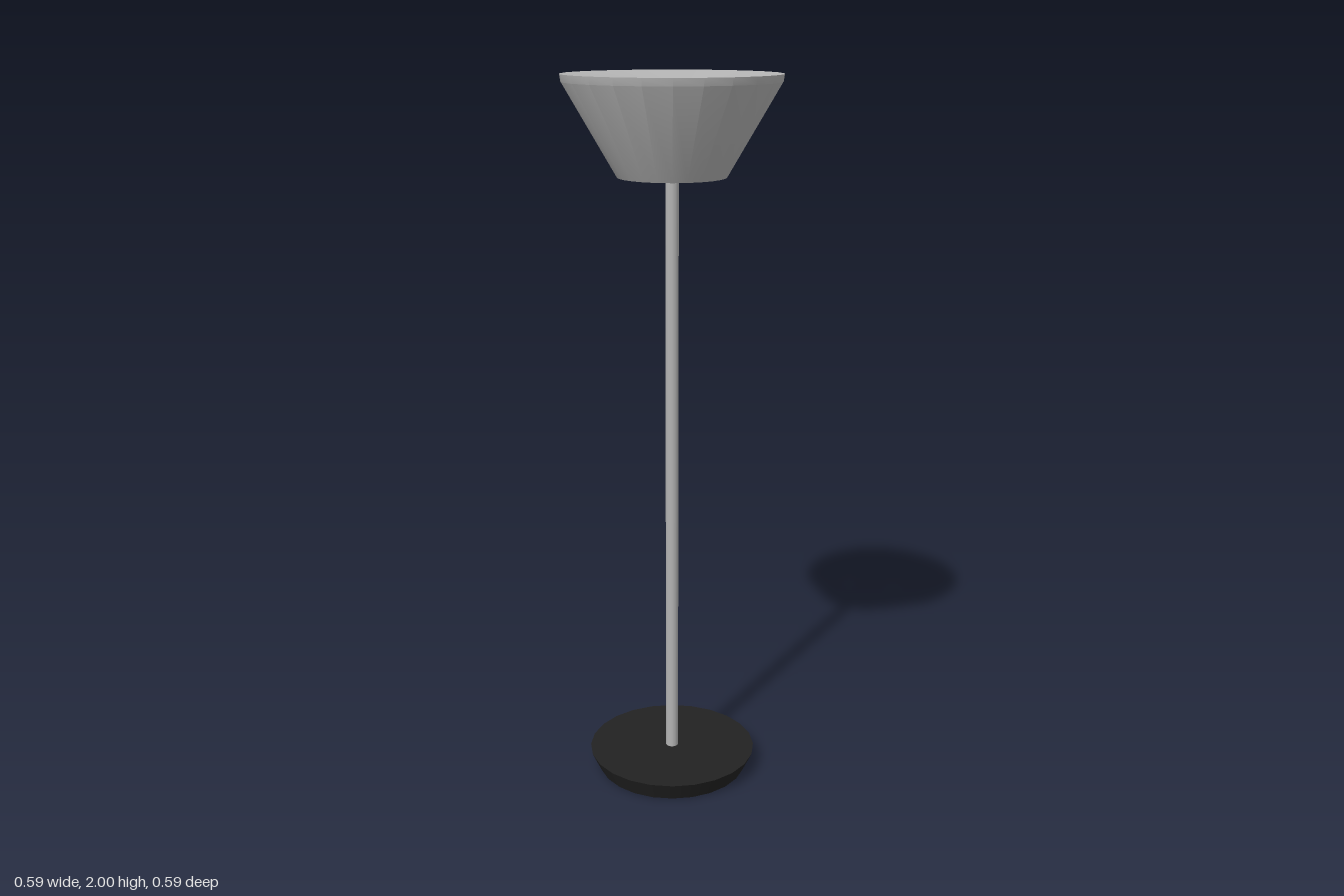
import * as THREE from 'three';
import { toCreasedNormals } from 'three/addons/utils/BufferGeometryUtils.js';

export function createModel() {
  const lamp = new THREE.Group();
  lamp.name = 'floorLamp';

  const material = (name, color) => {
    const m = new THREE.MeshStandardMaterial({ color });
    m.name = name;
    return m;
  };
  const metal = material('brushedMetal', 0xb4b4b4);
  const black = material('blackBase', 0x222222);
  const gold = material('goldBulb', 0xd4af37);

  const add = (name, geometry, mat, y = 0) => {
    const mesh = new THREE.Mesh(geometry, mat);
    mesh.name = name;
    mesh.position.y = y;
    lamp.add(mesh);
  };

  // Foot: a disc that narrows towards the floor
  add('base', new THREE.CylinderGeometry(0.243, 0.217, 0.055, 24), black, 0.0275);

  // Pole from the foot to the bulb
  const poleBottom = 0.05, poleTop = 1.79;
  add('pole', new THREE.CylinderGeometry(0.018, 0.018, poleTop - poleBottom, 12),
    metal, (poleBottom + poleTop) / 2);

  // Shade: outer cone, rim band, shallow funnel on top, straight inner wall
  const profile = [
    [0.147, 1.735], [0.29, 1.98], [0.293, 2], [0.147, 1.98], [0.147, 1.735],
  ].map(([r, y]) => new THREE.Vector2(r, y));
  add('shade', toCreasedNormals(new THREE.LatheGeometry(profile, 24), 0.4), metal);

  // Bulb on top of the pole
  add('bulb', new THREE.SphereGeometry(0.085, 12, 10), gold, 1.86);

  return lamp;
}
